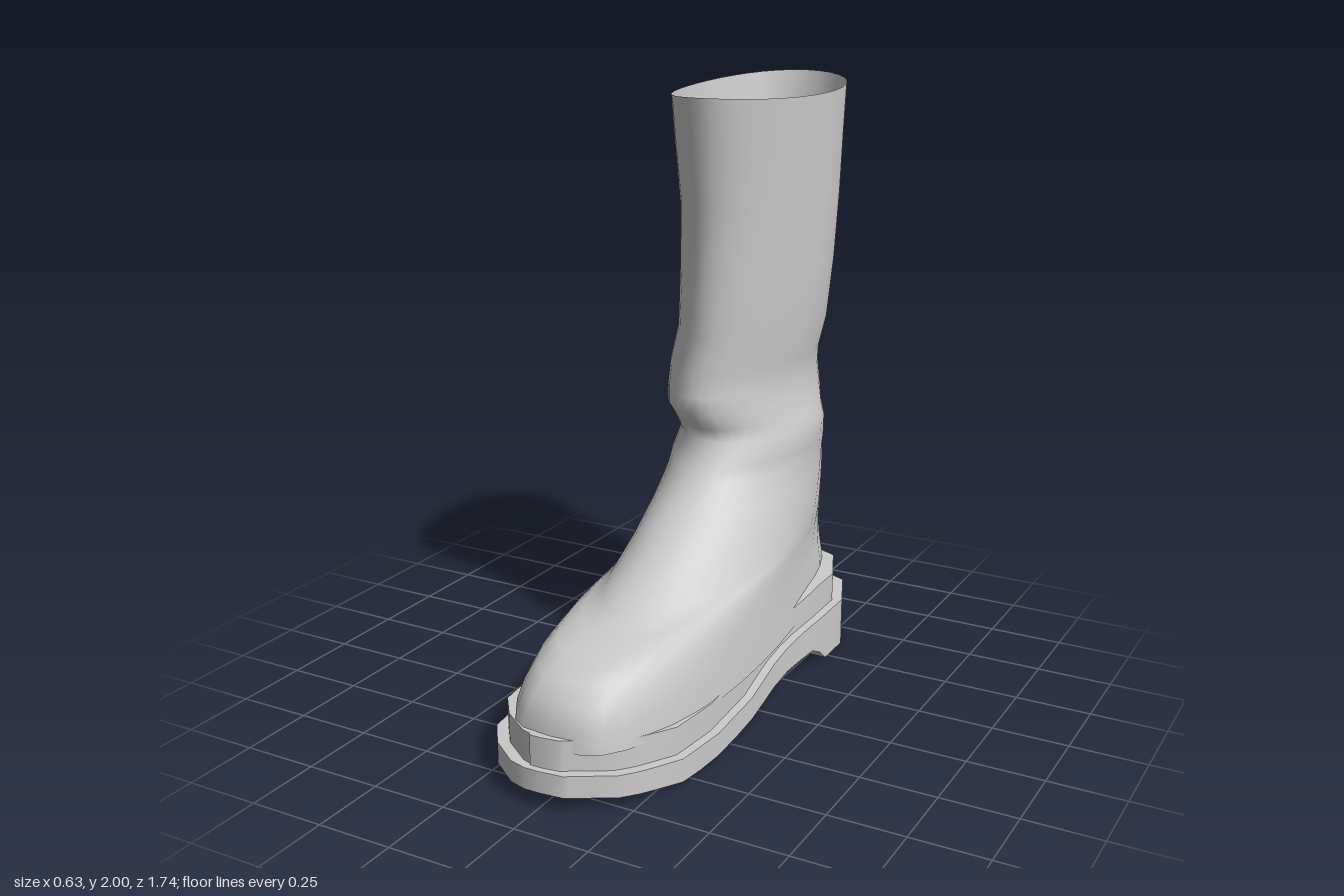
import * as THREE from 'three';
import { toCreasedNormals } from 'three/addons/utils/BufferGeometryUtils.js';

const SEG = 36;
const material = new THREE.MeshStandardMaterial({ color: 0xcccccc, side: THREE.DoubleSide });
const lerp = THREE.MathUtils.lerp;

// Piecewise linear curve through [z, value] pairs, z descending
function curve(points) {
  return (z) => {
    for (let i = 0; i < points.length - 1; i++) {
      const [z0, v0] = points[i], [z1, v1] = points[i + 1];
      if (z >= z1) return lerp(v0, v1, THREE.MathUtils.clamp((z0 - z) / (z0 - z1), 0, 1));
    }
    return points[points.length - 1][1];
  };
}

// Egg-shaped ring, tilted from its front point to its back point
// k > 0 narrows the front, e < 1 squares the outline, sag dips the sides
function ring([zf, yf, zb, yb, xl, xr, k = 0, e = 1, sag = 0], scale = 1) {
  const points = [];
  const cx = (xl + xr) / 2, w = (xr - xl) / 2, cz = (zf + zb) / 2, r = (zf - zb) / 2;
  for (let j = 0; j < SEG; j++) {
    const t = (j / SEG) * Math.PI * 2, c = Math.cos(t), s = Math.sin(t);
    const x = w * Math.sign(s) * Math.abs(s) ** e * (1 - k * c);
    const y = lerp(yb, yf, (1 + c) / 2) - sag * s * s;
    points.push([cx + x * scale, y, cz + r * c * scale]);
  }
  return points;
}

// Smooth skin over a stack of rings
function loft(name, rings) {
  const index = [];
  for (let i = 0; i < rings.length - 1; i++) {
    for (let j = 0; j < SEG; j++) {
      const n = (j + 1) % SEG;
      const a = i * SEG + j, b = i * SEG + n, c = b + SEG, d = a + SEG;
      index.push(a, b, c, a, c, d);
    }
  }
  const geometry = new THREE.BufferGeometry();
  geometry.setAttribute('position', new THREE.Float32BufferAttribute(rings.flat(2), 3));
  geometry.setIndex(index);
  geometry.computeVertexNormals();
  const mesh = new THREE.Mesh(geometry, material);
  mesh.name = name;
  return mesh;
}

// Sole outline seen from above
const leftEdge = curve([[0.87, 0.0], [0.86, 0.08], [0.75, 0.22], [0.55, 0.305], [0.34, 0.315], [0.1, 0.312],
  [-0.09, 0.295], [-0.25, 0.295], [-0.42, 0.312], [-0.62, 0.31], [-0.79, 0.24], [-0.86, 0.09], [-0.87, 0.04]]);
const rightEdge = curve([[0.87, -0.05], [0.85, -0.11], [0.76, -0.22], [0.65, -0.3], [0.55, -0.32], [0.2, -0.29],
  [-0.1, -0.26], [-0.4, -0.27], [-0.55, -0.25], [-0.72, -0.21], [-0.85, -0.1], [-0.87, -0.01]]);

// Heights along the foot
const soleBottom = curve([[0.87, 0.05], [0.6, 0.015], [0.4, 0], [0.2, 0.01], [0, 0.03], [-0.2, 0.058],
  [-0.38, 0.065], [-0.43, 0.04], [-0.48, 0], [-0.87, 0]]);
const soleTop = curve([[0.87, 0.12], [0.6, 0.09], [0.35, 0.078], [0.1, 0.095], [-0.2, 0.145], [-0.4, 0.167], [-0.87, 0.17]]);
const weltTop = curve([[0.87, 0.215], [0.6, 0.18], [0.35, 0.168], [0.1, 0.19], [-0.2, 0.235], [-0.45, 0.268], [-0.87, 0.27]]);
const stations = [0.87, 0.86, 0.85, 0.81, 0.76, 0.7, 0.65, 0.55, 0.45, 0.34, 0.2, 0.1, 0, -0.1, -0.2, -0.3, -0.38,
  -0.43, -0.48, -0.55, -0.62, -0.72, -0.79, -0.825, -0.85, -0.86, -0.87];

// Slab following the sole outline between two height curves
function slab(name, inset, zScale, bottom, top) {
  const sections = stations.map((z) => {
    const l = leftEdge(z), r = rightEdge(z), m = (l + r) / 2;
    const half = Math.max((l - r) / 2 - inset, 0.02);
    const b = bottom(z), t = top(z), zz = z * zScale;
    return [[m + half, b, zz], [m + half, t, zz], [m - half, t, zz], [m - half, b, zz]];
  });
  const positions = [];
  const quad = (a, b, c, d) => positions.push(...a, ...b, ...c, ...a, ...c, ...d);
  for (let i = 0; i < sections.length - 1; i++) {
    const p = sections[i], q = sections[i + 1];
    for (let c = 0; c < 4; c++) quad(p[c], q[c], q[(c + 1) % 4], p[(c + 1) % 4]);
  }
  const last = sections[sections.length - 1];
  quad(...sections[0]);
  quad(last[3], last[2], last[1], last[0]);
  const geometry = new THREE.BufferGeometry();
  geometry.setAttribute('position', new THREE.Float32BufferAttribute(positions, 3));
  const mesh = new THREE.Mesh(toCreasedNormals(geometry, 0.7), material);
  mesh.name = name;
  return mesh;
}

export function createModel() {
  const boot = new THREE.Group();
  boot.name = 'boot';

  boot.add(slab('outsole', 0, 1, soleBottom, soleTop));
  boot.add(slab('welt', 0.03, 0.97, (z) => soleTop(z) - 0.01, weltTop));

  // Rings: front z, front y, back z, back y, right x, left x, k, e, sag
  const foot = [
    [0.82, 0.17, -0.84, 0.24, -0.275, 0.29, -0.06, 0.6, 0.04],
    [0.815, 0.24, -0.84, 0.31, -0.27, 0.285, -0.06, 0.62, 0.03],
    [0.79, 0.3, -0.838, 0.36, -0.262, 0.28, -0.06, 0.68, 0.02],
    [0.74, 0.355, -0.836, 0.41, -0.253, 0.275, -0.04, 0.75, 0.01],
    [0.65, 0.388, -0.833, 0.46, -0.245, 0.27, 0, 0.82],
    [0.52, 0.405, -0.83, 0.5, -0.24, 0.265, 0.04, 0.88],
    [0.4, 0.435, -0.83, 0.54, -0.235, 0.258, 0.08, 0.92],
    [0.22, 0.54, -0.828, 0.61, -0.228, 0.248, 0.1, 0.95],
    [0.06, 0.64, -0.825, 0.67, -0.226, 0.238, 0.1, 0.95],
    [-0.06, 0.725, -0.82, 0.73, -0.23, 0.232, 0.1],
  ];
  const shaft = [
    [-0.08, 0.77, -0.8, 0.78, -0.225, 0.24, 0.12],
    [-0.15, 0.845, -0.772, 0.85, -0.212, 0.242, 0.12],
    [-0.13, 0.89, -0.785, 0.89, -0.225, 0.225, 0.14],
    [-0.095, 0.95, -0.812, 0.95, -0.25, 0.21, 0.16],
    [-0.1, 1.0, -0.805, 1.03, -0.252, 0.2, 0.18],
    [-0.113, 1.07, -0.79, 1.1, -0.25, 0.205, 0.2],
    [-0.122, 1.2, -0.787, 1.2, -0.225, 0.23, 0.22],
    [-0.122, 1.4, -0.808, 1.4, -0.222, 0.245, 0.22],
    [-0.118, 1.62, -0.83, 1.62, -0.222, 0.255, 0.2],
    [-0.09, 1.8, -0.85, 1.82, -0.23, 0.262, 0.18],
    [-0.07, 1.97, -0.87, 2.0, -0.237, 0.268, 0.16, 1, 0.02],
  ];
  boot.add(loft('upper', [...foot, ...shaft].map((row) => ring(row))));

  // Lining tapers inwards below the rim, leaving an open throat
  const taper = [[10, 1], [9, 0.95], [8, 0.91], [7, 0.86], [6, 0.8], [4, 0.7], [2, 0.6]];
  boot.add(loft('lining', taper.map(([i, s]) => ring(shaft[i], s))));

  return boot;
}
